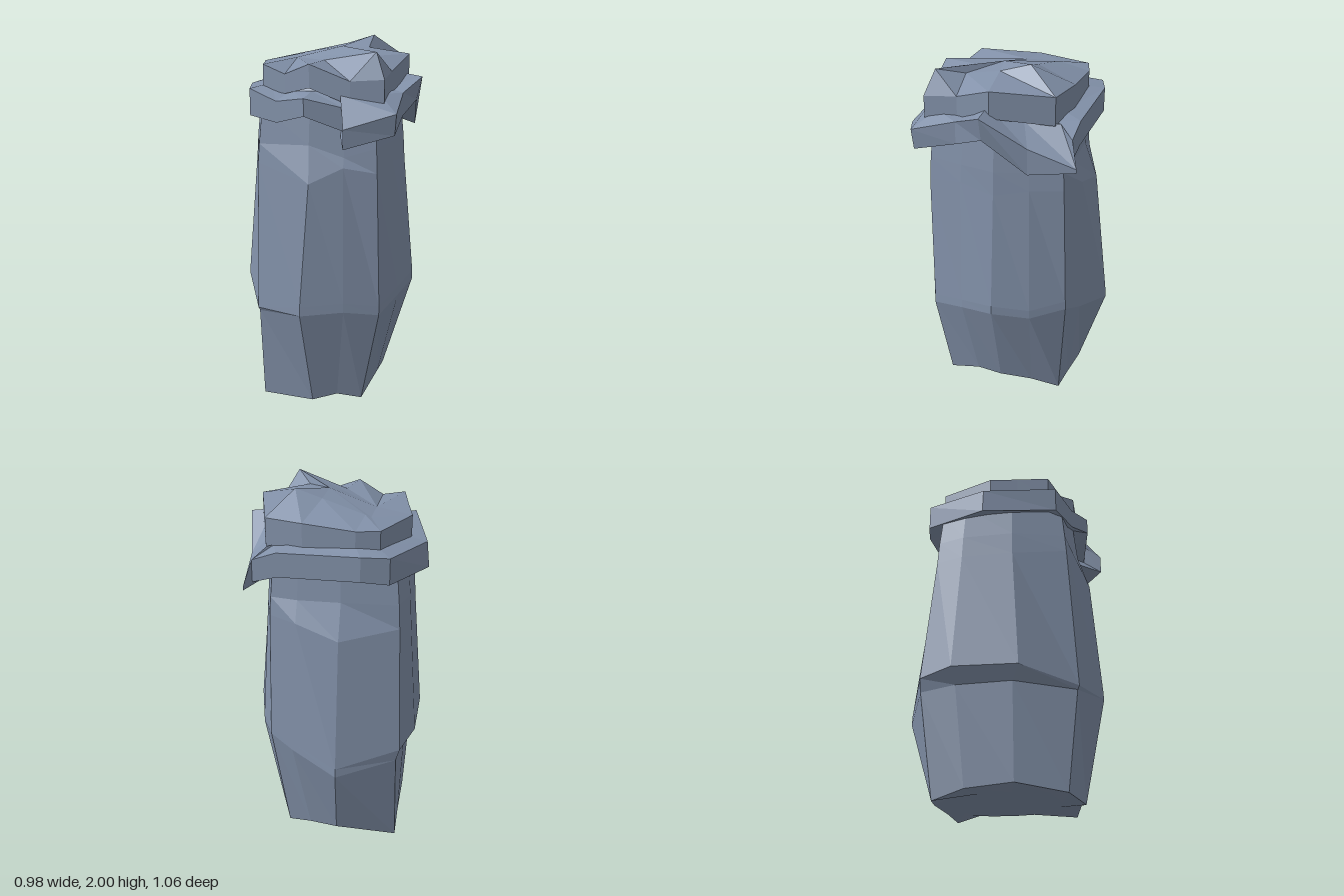
import * as THREE from 'three';

// Skin a stack of rings (each listed clockwise from above, stacked bottom to top)
function loft(rings) {
  const pos = [];
  const n = rings[0].length;
  for (let i = 0; i + 1 < rings.length; i++) {
    for (let j = 0; j < n; j++) {
      const k = (j + 1) % n;
      const a = rings[i][j], b = rings[i][k], c = rings[i + 1][k], d = rings[i + 1][j];
      pos.push(...a, ...d, ...c, ...a, ...c, ...b);
    }
  }
  const geo = new THREE.BufferGeometry();
  geo.setAttribute('position', new THREE.Float32BufferAttribute(pos, 3));
  geo.computeVertexNormals();
  return geo;
}

// Copy of a ring, scaled in plan, with a rule for the new height
const inset = (ring, s, height) => ring.map(([x, y, z]) => [x * s, height(y), z * s]);
const point = (ring, p) => ring.map(() => p);

export function createModel() {
  const group = new THREE.Group();
  const stone = new THREE.MeshStandardMaterial({ color: 0x8291a9, flatShading: true });
  stone.name = 'blue grey stone';
  const add = (name, rings) => {
    const mesh = new THREE.Mesh(loft(rings), stone);
    mesh.name = name;
    group.add(mesh);
  };

  // Pillar: ragged foot, widest low down, tapering to the neck
  const foot = [
    [-0.38, 0.08, 0.1], [-0.385, 0.06, -0.15], [-0.39, 0.005, -0.31], [-0.06, 0.07, -0.39],
    [0.1, 0.06, -0.36], [0.23, 0.04, -0.335], [0.28, 0.1, -0.18], [0.3, 0.11, 0],
    [0.29, 0.12, 0.14], [0.23, 0.04, 0.33], [0.1, 0.07, 0.37], [-0.03, 0.04, 0.41],
    [-0.32, 0.03, 0.36],
  ];
  const belly = [
    [-0.41, 0.6, 0.1], [-0.41, 0.6, -0.2], [-0.39, 0.58, -0.39], [-0.08, 0.52, -0.53],
    [0.18, 0.6, -0.43], [0.31, 0.66, -0.38], [0.4, 0.62, -0.2], [0.46, 0.65, 0],
    [0.405, 0.62, 0.19], [0.33, 0.57, 0.38], [0.15, 0.6, 0.455], [-0.07, 0.59, 0.53],
    [-0.32, 0.56, 0.42],
  ];
  // Overhanging ledge on the model's right side
  const ledge = belly.map(([x, y, z]) => [x, y + 0.05, z * 0.995]);
  ledge[0] = [-0.46, 0.67, 0.14];
  ledge[1] = [-0.47, 0.68, -0.21];
  ledge[2] = [-0.41, 0.65, -0.39];
  ledge[12] = [-0.325, 0.58, 0.43];
  const shoulder = [
    [-0.41, 1.35, 0.1], [-0.42, 1.35, -0.18], [-0.38, 1.35, -0.33], [-0.08, 1.3, -0.44],
    [0.15, 1.37, -0.41], [0.3, 1.38, -0.35], [0.355, 1.38, -0.18], [0.4, 1.35, 0],
    [0.36, 1.38, 0.19], [0.31, 1.35, 0.38], [0.14, 1.38, 0.42], [-0.03, 1.3, 0.475],
    [-0.32, 1.38, 0.385],
  ];
  // Chipped hollows above the front and back corners
  const neck = shoulder.map(([x, , z]) => [x * 0.98, 1.48, z * 0.98]);
  neck[3] = [-0.08, 1.49, -0.37];
  neck[4] = [0.15, 1.48, -0.36];
  neck[10] = [0.14, 1.43, 0.4];
  neck[11] = [-0.04, 1.49, 0.415];
  add('pillar', [
    point(foot, [0, 0.07, 0]), inset(foot, 0.7, () => 0.06), foot, belly, ledge, shoulder, neck,
    inset(neck, 0.95, () => 1.68), inset(neck, 0.8, () => 1.77), point(foot, [0, 1.78, 0]),
  ]);

  // Lower collar: x, z, underside height, top height, flare of the underside
  const collar = [
    [-0.475, -0.05, 1.59, 1.73, 1.03], [-0.33, -0.4, 1.62, 1.76, 1], [-0.19, -0.44, 1.64, 1.77, 1],
    [0.24, -0.41, 1.62, 1.75, 1], [0.37, -0.4, 1.58, 1.7, 1], [0.41, -0.435, 1.545, 1.565, 1],
    [0.43, -0.19, 1.51, 1.65, 1], [0.49, 0.04, 1.68, 1.805, 0.94], [0.41, 0.19, 1.62, 1.74, 1],
    [0.41, 0.43, 1.56, 1.67, 0.98], [0.16, 0.53, 1.5, 1.6, 1], [0.15, 0.43, 1.57, 1.69, 1],
    [-0.05, 0.48, 1.65, 1.74, 1], [-0.21, 0.41, 1.6, 1.71, 1], [-0.37, 0.34, 1.62, 1.76, 1],
  ];
  const collarLow = collar.map(([x, z, lo, , flare]) => [x * flare, lo, z * flare]);
  const collarTop = collar.map(([x, z, , hi]) => [x, hi, z]);
  add('lowerCollar', [
    inset(collarLow, 0.78, (y) => y + 0.04), collarLow, collarTop,
    inset(collarTop, 0.75, (y) => Math.max(y + 0.02, 1.75)),
  ]);

  // Crown: upper band with a craggy cap
  const crown = [
    [-0.39, -0.03, 1.73, 1.86], [-0.27, -0.33, 1.74, 1.87], [-0.15, -0.36, 1.76, 1.87],
    [0.12, -0.35, 1.76, 1.89], [0.32, -0.3, 1.74, 1.89], [0.415, 0.01, 1.78, 1.92],
    [0.35, 0.2, 1.72, 1.85], [0.34, 0.38, 1.69, 1.83], [0.17, 0.4, 1.7, 1.82],
    [-0.04, 0.4, 1.78, 1.9], [-0.18, 0.345, 1.74, 1.84], [-0.31, 0.29, 1.75, 1.88],
    [-0.35, 0.12, 1.73, 1.87],
  ];
  const crownLow = crown.map(([x, z, lo]) => [x, lo, z]);
  const crownTop = crown.map(([x, z, , hi]) => [x, hi, z]);
  const leftCrag = [-0.2, 1.885, -0.01], frontCrag = [0.29, 1.96, 0.33];
  const crags = [
    leftCrag, [-0.2, 1.89, -0.19], [-0.17, 1.9, -0.19], [0.06, 1.955, -0.14],
    [0.2, 2, -0.14], [0.2, 1.95, 0.02], [0.2, 1.92, 0.2], frontCrag,
    frontCrag, [0, 1.9, 0.22], leftCrag, leftCrag, leftCrag,
  ];
  const ridge = crags.slice();
  ridge[9] = leftCrag;
  add('crown', [
    inset(crownLow, 0.75, (y) => y), crownLow, crownTop, crags, ridge,
    point(crags, [0.06, 1.955, 0.04]),
  ]);

  return group;
}
